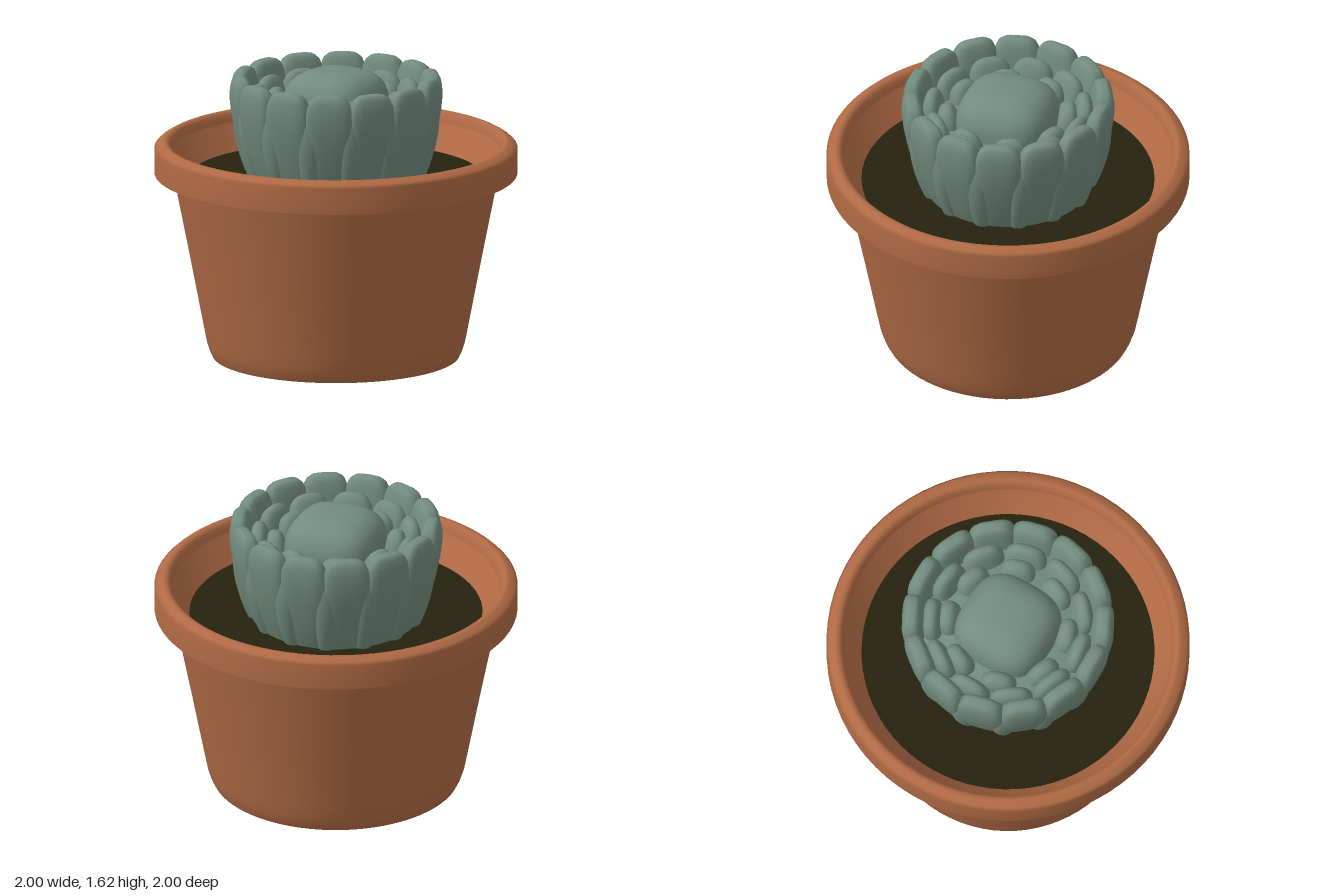
import * as THREE from 'three';
import { mergeVertices } from 'three/addons/utils/BufferGeometryUtils.js';

const material = (name, color, side = THREE.FrontSide) => {
  const m = new THREE.MeshStandardMaterial({ color, side });
  m.name = name;
  return m;
};

// Turned surface made of separately smoothed profile sections
function turned(name, sections, mat) {
  const group = new THREE.Group();
  group.name = name;
  sections.forEach((pts, i) => {
    const geo = new THREE.LatheGeometry(pts.map(([r, y]) => new THREE.Vector2(r, y)), 72);
    const mesh = new THREE.Mesh(geo, mat);
    mesh.name = `${name}Section${i + 1}`;
    group.add(mesh);
  });
  return group;
}

// Unit superellipsoid (p = 2 is a sphere, higher is boxier), reshaped by a rule
function blob(p, rule, cols = 24, rows = 18) {
  let geo = new THREE.SphereGeometry(1, cols, rows);
  geo.deleteAttribute('uv');
  geo.deleteAttribute('normal');
  geo = mergeVertices(geo, 1e-4);
  const pos = geo.attributes.position;
  const v = new THREE.Vector3();
  for (let i = 0; i < pos.count; i++) {
    v.fromBufferAttribute(pos, i);
    const n = Math.abs(v.x) ** p + Math.abs(v.y) ** p + Math.abs(v.z) ** p;
    rule(v.multiplyScalar(n ** (-1 / p)));
    pos.setXYZ(i, v.x, v.y, v.z);
  }
  geo.computeVertexNormals();
  return geo;
}

// Ring of upright leaves that flare from radius r0 at y0 to r1 at y1
function leafRing(name, { count, offset = 0, p, r0, r1, y0, y1, width, thick }, mat) {
  const group = new THREE.Group();
  group.name = name;
  const geo = blob(p, (v) => {
    const t = (v.y + 1) / 2;
    const radius = r0 + (r1 - r0) * Math.sin(t * Math.PI / 2);
    v.set(v.x * width * (0.6 + 0.4 * t), y0 + (y1 - y0) * t, radius + v.z * thick);
  });
  for (let i = 0; i < count; i++) {
    const leaf = new THREE.Mesh(geo, mat);
    leaf.name = `${name}Leaf`;
    leaf.rotation.y = (i + offset) / count * Math.PI * 2;
    group.add(leaf);
  }
  return group;
}

export function createModel() {
  const model = new THREE.Group();
  model.name = 'pottedSucculent';
  const clay = material('terracotta', 0xb06a44);
  const earth = material('darkSoil', 0x25220f);
  const green = material('succulentGreen', 0x728c7e);

  // Tapered pot with a rounded foot
  model.add(turned('pot', [
    [[0, 0], [0.68, 0]],
    [[0.68, 0], [0.695, 0.03], [0.71, 0.075], [0.725, 0.15], [0.8, 0.54], [0.897, 1.03]],
  ], clay));

  // Thick rolled rim and the inner wall down to the soil
  model.add(turned('rim', [
    [[0.88, 1.015], [0.96, 1.022], [1, 1.03]],
    [[1, 1.03], [1, 1.175], [0.985, 1.19], [0.955, 1.208], [0.935, 1.21], [0.915, 1.195], [0.905, 1.16]],
    [[0.905, 1.16], [0.9, 1.14], [0.8, 1.0]],
  ], clay));

  const soil = new THREE.Mesh(new THREE.CircleGeometry(0.81, 72), earth);
  soil.name = 'soil';
  soil.rotation.x = -Math.PI / 2;
  soil.position.y = 1.01;
  model.add(soil);

  // Succulent: core, rings of leaves from outside to inside, then the heart
  const plant = new THREE.Group();
  plant.name = 'succulent';
  plant.add(turned('core', [[[0.42, 0.98], [0.5, 1.25], [0.48, 1.4], [0, 1.4]]], green));
  plant.add(leafRing('outerRing',
    { count: 14, offset: 0.1, p: 3.6, r0: 0.37, r1: 0.53, y0: 0.9, y1: 1.59, width: 0.15, thick: 0.065 }, green));
  plant.add(leafRing('lowerRing',
    { count: 14, offset: 0.6, p: 2.2, r0: 0.375, r1: 0.525, y0: 0.85, y1: 1.5, width: 0.085, thick: 0.065 }, green));
  plant.add(leafRing('middleRing',
    { count: 11, offset: 0.3, p: 2.6, r0: 0.3, r1: 0.425, y0: 1.1, y1: 1.53, width: 0.14, thick: 0.06 }, green));
  plant.add(leafRing('innerRing',
    { count: 8, offset: 0.5, p: 2.5, r0: 0.22, r1: 0.335, y0: 1.1, y1: 1.5, width: 0.12, thick: 0.07 }, green));

  const heart = new THREE.Mesh(blob(3, (v) => {
    v.set(v.x * 0.265, 1.38 + v.y * 0.235, v.z * 0.27);
  }, 40, 24), green);
  heart.name = 'heart';
  plant.add(heart);
  model.add(plant);

  return model;
}
